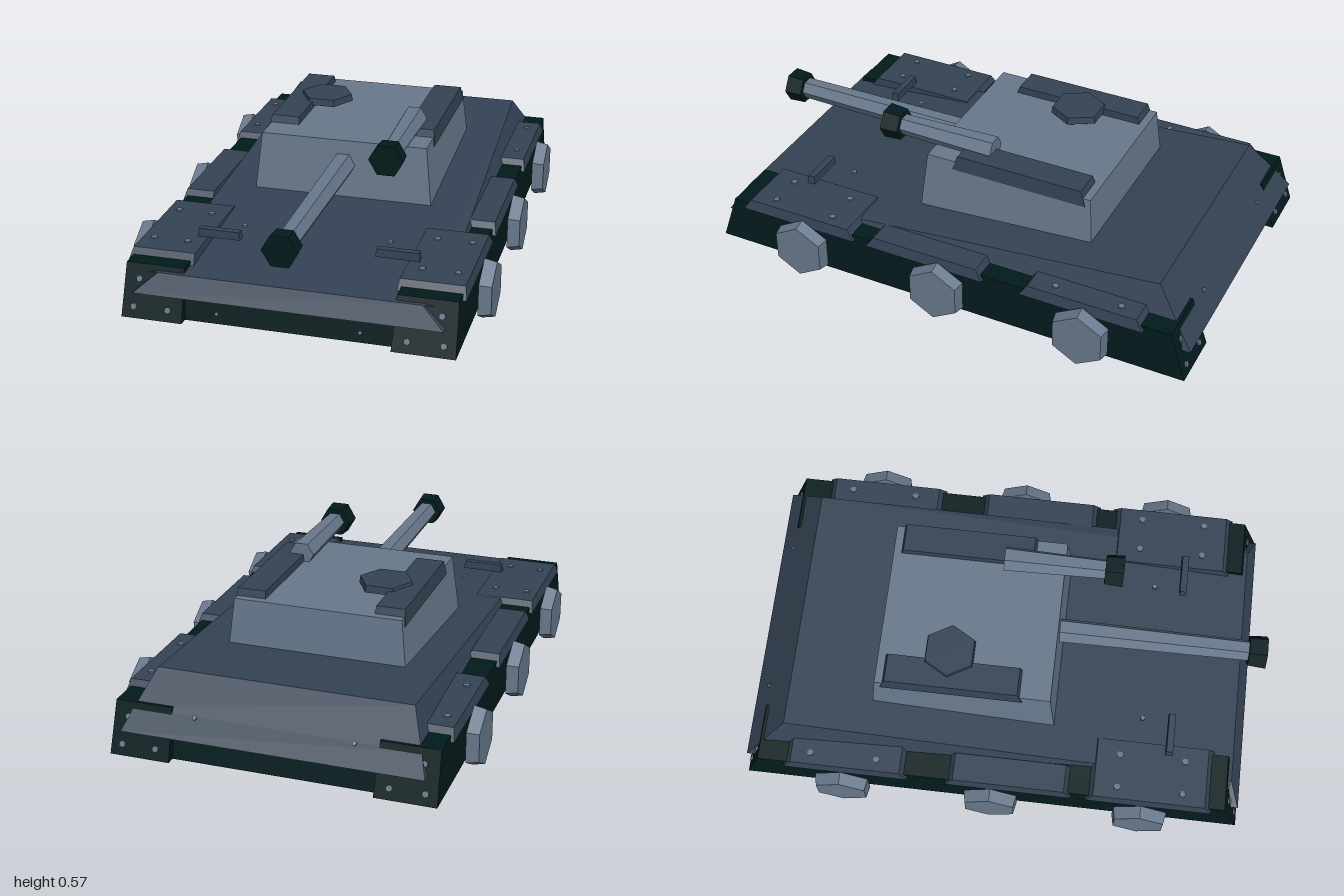
import * as THREE from 'three';

const material = (name, color) => {
  const m = new THREE.MeshStandardMaterial({ color });
  m.name = name;
  return m;
};

export function createModel() {
  const dark = material('dark green', 0x021b1c);
  const slate = material('slate', 0x344254);
  const steel = material('light steel', 0x67788b);
  const tank = new THREE.Group();
  tank.name = 'tank';

  const add = (name, geometry, mat) => {
    const g = geometry.index ? geometry.toNonIndexed() : geometry;
    g.computeVertexNormals();
    const mesh = new THREE.Mesh(g, mat);
    mesh.name = name;
    tank.add(mesh);
    return mesh;
  };

  // Tapered block: each end is [x0, x1, z0, z1, y at z0, y at z1]
  const block = (name, mat, bottom, top) => {
    const g = new THREE.BoxGeometry(1, 1, 1);
    const p = g.attributes.position;
    for (let i = 0; i < p.count; i++) {
      const e = p.getY(i) < 0 ? bottom : top;
      const front = p.getZ(i) > 0;
      p.setXYZ(i, p.getX(i) > 0 ? e[1] : e[0], front ? e[5] : e[4], front ? e[3] : e[2]);
    }
    return add(name, g, mat);
  };
  // The same block on side s (1 = left, -1 = right)
  const sideBlock = (name, mat, s, b, t) => {
    const flip = (e) => (s > 0 ? e : [-e[1], -e[0], ...e.slice(2)]);
    return block(name, mat, flip(b), flip(t));
  };
  // Hexagonal rod along +z with a flat on top
  const rod = (name, mat, x, y, z0, z1, r0, r1) => {
    const g = new THREE.CylinderGeometry(r1, r0, z1 - z0, 6);
    g.rotateY(Math.PI / 6).rotateX(Math.PI / 2);
    g.translate(x, y, (z0 + z1) / 2);
    return add(name, g, mat);
  };
  // Mirrored pair of flat rivets; tilt turns them from up (0) to front (+) or back (-)
  const rivets = (x, y, z, tilt = 0, r = 0.013) => {
    for (const s of [1, -1]) {
      const m = add('rivet', new THREE.CylinderGeometry(r, r, 0.009, 6), steel);
      m.position.set(s * x, y, z);
      m.rotation.x = tilt;
    }
  };

  // Lower hull: a deep open tray between the tracks
  block('hullFloor', dark, [-0.4, 0.4, -0.92, 0.88, 0.2, 0.194], [-0.4, 0.4, -0.92, 0.88, 0.21, 0.2]);
  block('lowerFront', dark, [-0.39, 0.39, 0.9, 0.93, 0.032, 0.032], [-0.39, 0.39, 0.83, 0.895, 0.198, 0.198]);
  block('lowerBack', dark, [-0.39, 0.39, -0.965, -0.935, 0.032, 0.032], [-0.39, 0.39, -0.93, -0.88, 0.2, 0.2]);

  // Upper hull with its overhanging front and back plates
  block('upperHull', slate, [-0.54, 0.54, -0.941, 0.905, 0.203, 0.197], [-0.485, 0.485, -0.84, 0.92, 0.327, 0.203]);
  block('frontPlate', slate, [-0.57, 0.57, 0.9, 0.96, 0.13, 0.13], [-0.485, 0.485, 0.87, 0.92, 0.203, 0.203]);
  block('backPlate', slate, [-0.57, 0.57, -1, -0.94, 0.13, 0.13], [-0.54, 0.54, -0.941, -0.9, 0.203, 0.203]);

  for (const s of [1, -1]) {
    // Tracks
    sideBlock('track', dark, s, [0.385, 0.615, -1, 0.965, 0.032, 0.032], [0.39, 0.61, -0.937, 0.9, 0.222, 0.222]);

    // Fenders, the front one reaching further inward
    for (const [z0, z1, inner] of [[-0.835, -0.345, 0.5], [-0.195, 0.3, 0.5], [0.355, 0.85, 0.375]]) {
      sideBlock('fender', slate, s,
        [inner, 0.625, z0, z1, 0.203, 0.203],
        [inner + 0.005, 0.615, z0 + 0.03, z1 - 0.03, 0.245, 0.245]);
    }

    // Hexagonal wheels
    for (const z of [0.574, -0.015, -0.604]) {
      const g = new THREE.CylinderGeometry(0.11, 0.12, 0.047, 6);
      g.rotateY(Math.PI / 2).rotateZ(-s * Math.PI / 2);
      add('wheel', g, steel).position.set(s * 0.657, 0.12, z);
    }

    // Front lamp bars
    sideBlock('lampBar', slate, s,
      [0.255, 0.42, 0.65, 0.68, 0.247, 0.247], [0.26, 0.415, 0.652, 0.678, 0.278, 0.278]);

    // Turret side panels
    sideBlock('turretPanel', slate, s,
      [0.212, 0.335, -0.475, 0.075, 0.447, 0.447], [0.217, 0.328, -0.455, 0.055, 0.507, 0.507]);
  }

  // Turret and hatch
  block('turret', steel, [-0.352, 0.352, -0.515, 0.205, 0.26, 0.255], [-0.328, 0.328, -0.495, 0.183, 0.479, 0.479]);
  const hatch = new THREE.CylinderGeometry(0.103, 0.108, 0.027, 6).rotateY(Math.PI / 6);
  add('hatch', hatch, slate).position.set(-0.18, 0.506, -0.22);

  // Guns
  rod('mainBarrel', steel, 0, 0.382, 0.17, 0.94, 0.049, 0.042);
  rod('mainMuzzle', dark, 0, 0.382, 0.93, 1, 0.062, 0.067);
  rod('upperBarrel', steel, 0.225, 0.509, -0.055, 0.35, 0.05, 0.04);
  rod('upperMuzzle', dark, 0.225, 0.508, 0.34, 0.412, 0.062, 0.067);

  // Rivets on track ends, hull, deck and fenders
  const lean = Math.PI / 2 - 0.33;
  for (const [x, y] of [[0.44, 0.073], [0.57, 0.073], [0.555, 0.17]]) {
    rivets(x, y, 0.967 - (y - 0.032) * 0.342, lean);
    rivets(x, y, -1.002 + (y - 0.032) * 0.332, -lean);
  }
  rivets(0.265, 0.068, 0.924, lean, 0.007);
  rivets(0.3, 0.2, -0.945, -0.89, 0.009);
  rivets(0.28, 0.249, 0.55, 0, 0.011);
  for (const z of [0.475, 0.73]) for (const x of [0.44, 0.57]) rivets(x, 0.246, z);
  for (const z of [-0.47, -0.73]) rivets(0.57, 0.246, z);

  return tank;
}
